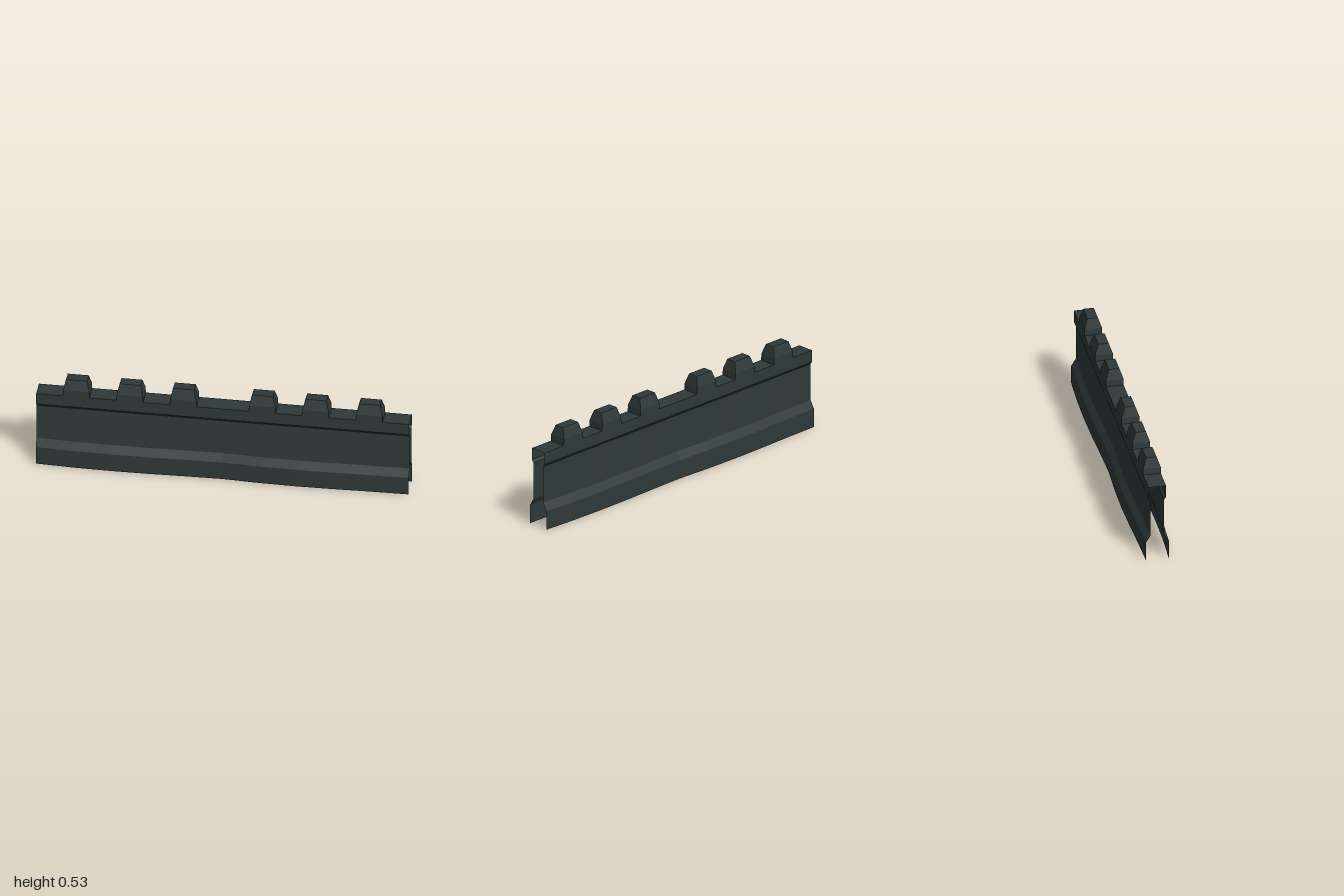
import * as THREE from 'three';

// Sheet swept through rows of [x, y, z] points
function sheet(rows) {
  const n = rows[0].length, pos = [];
  for (let i = 0; i < rows.length - 1; i++) {
    for (let j = 0; j < n - 1; j++) {
      const a = rows[i][j], b = rows[i + 1][j], c = rows[i + 1][j + 1], d = rows[i][j + 1];
      pos.push(...a, ...b, ...c, ...a, ...c, ...d);
    }
  }
  const g = new THREE.BufferGeometry();
  g.setAttribute('position', new THREE.Float32BufferAttribute(pos, 3));
  g.computeVertexNormals();
  return g;
}

// Merlon: straight foot with a tapered top, lofted from rectangles, open below
function merlonGeometry() {
  const levels = [[0.437, 0.072, 0.048], [0.473, 0.07, 0.048], [0.53, 0.056, 0.028], [0.53, 0, 0]];
  const corners = [[-1, 1], [1, 1], [1, -1], [-1, -1], [-1, 1]];
  return sheet(corners.map(([sx, sz]) => levels.map(([y, hx, hz]) => [sx * hx, y, sz * hz])));
}

export function createModel() {
  const stone = new THREE.MeshStandardMaterial({ color: 0x2f3939, side: THREE.DoubleSide, flatShading: true });
  stone.name = 'dark slate stone';
  const model = new THREE.Group();
  model.name = 'battlementWall';
  const add = (name, geometry) => {
    const mesh = new THREE.Mesh(geometry, stone);
    mesh.name = name;
    model.add(mesh);
    return mesh;
  };

  // Wall faces: flared foot, sloped ledge and a gentle uneven bulge that fades upward
  const profile = [[0, 0.062, 1], [0.105, 0.062, 1], [0.148, 0.036, 1], [0.355, 0.036, 0]];
  const bulge = [0, 0.009, 0.012, 0.01, 0.004, 0, 0.009, 0.012, 0.009, 0.003, 0];
  const face = sheet(bulge.map((b, i) =>
    profile.map(([y, z, k]) => [-1 + i * 0.2, y, z + b * k])));
  add('frontWall', face);
  add('backWall', face).rotation.y = Math.PI;

  // Coping: open-ended cap with chamfered undersides
  const cap = [[0.355, 0.036], [0.371, 0.048], [0.437, 0.048], [0.437, -0.048], [0.371, -0.048], [0.355, -0.036]];
  add('coping', sheet([-1, 1].map(x => cap.map(([y, z]) => [x, y, z]))));

  // Merlons in two groups of three
  const merlon = merlonGeometry();
  for (const side of [-1, 1]) {
    for (const x of [0.212, 0.498, 0.786]) add('merlon', merlon).position.x = side * x;
  }
  return model;
}
